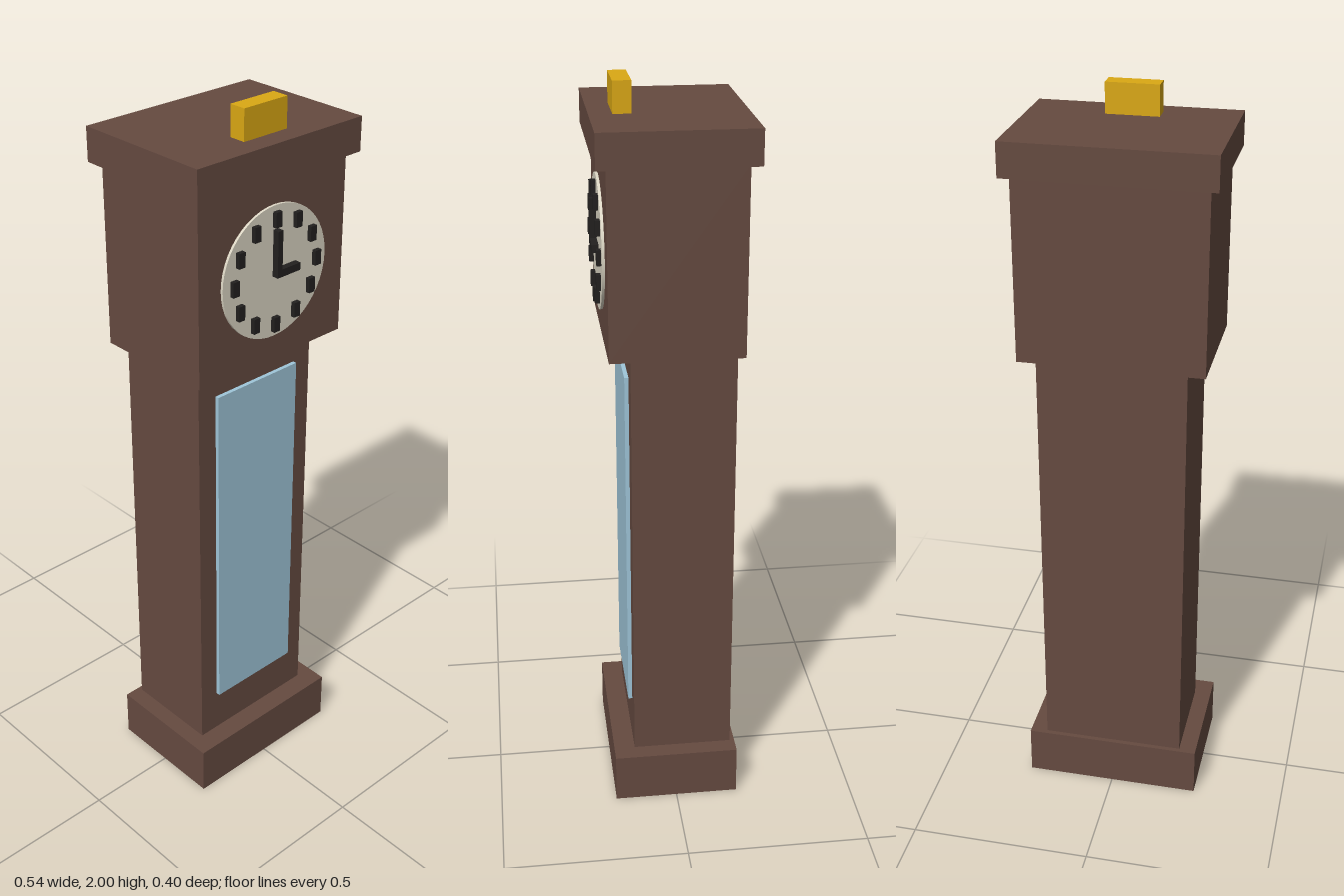
import * as THREE from 'three';

const WOOD = new THREE.MeshStandardMaterial({ color: 0x654a40 });
const BRASS = new THREE.MeshStandardMaterial({ color: 0xdaa814 });
const GLASS = new THREE.MeshStandardMaterial({ color: 0x9fc6d9 });
const IVORY = new THREE.MeshStandardMaterial({ color: 0xdcd6c4 });
const BLACK = new THREE.MeshStandardMaterial({ color: 0x22201f });

// Box given by its extents on each axis
function box(name, material, [x0, x1], [y0, y1], [z0, z1]) {
  const mesh = new THREE.Mesh(new THREE.BoxGeometry(x1 - x0, y1 - y0, z1 - z0), material);
  mesh.position.set((x0 + x1) / 2, (y0 + y1) / 2, (z0 + z1) / 2);
  mesh.name = name;
  return mesh;
}

export function createModel() {
  const clock = new THREE.Group();
  clock.name = 'longcaseClock';

  // Wooden case, from the floor up
  clock.add(
    box('plinth', WOOD, [-0.246, 0.246], [0, 0.14], [-0.173, 0.173]),
    box('trunk', WOOD, [-0.198, 0.198], [0.14, 1.34], [-0.16, 0.115]),
    box('hood', WOOD, [-0.246, 0.246], [1.34, 1.83], [-0.173, 0.173]),
    box('cornice', WOOD, [-0.269, 0.269], [1.83, 1.92], [-0.199, 0.199]),
    box('finial', BRASS, [-0.07, 0.07], [1.92, 2], [0.093, 0.14]),
    box('glassDoor', GLASS, [-0.14, 0.14], [0.268, 1.258], [0.11, 0.126])
  );

  // Clock face, with its hands at three o'clock
  const face = new THREE.Group();
  face.name = 'clockFace';
  face.position.y = 1.583;
  const dial = new THREE.Mesh(new THREE.CylinderGeometry(0.175, 0.175, 0.02, 48), IVORY);
  dial.name = 'dial';
  dial.rotation.x = Math.PI / 2;
  dial.position.z = 0.17;
  face.add(dial);

  // Upright hour marks around the rim
  for (let i = 0; i < 12; i++) {
    const a = (i / 12) * Math.PI * 2;
    const x = 0.14 * Math.sin(a), y = 0.14 * Math.cos(a);
    face.add(box('hourMark', BLACK, [x - 0.01, x + 0.01], [y - 0.02, y + 0.02], [0.175, 0.192]));
  }
  face.add(
    box('minuteHand', BLACK, [-0.008, 0.008], [-0.01, 0.113], [0.175, 0.198]),
    box('hourHand', BLACK, [-0.008, 0.07], [-0.01, 0.01], [0.175, 0.198])
  );
  clock.add(face);
  return clock;
}
